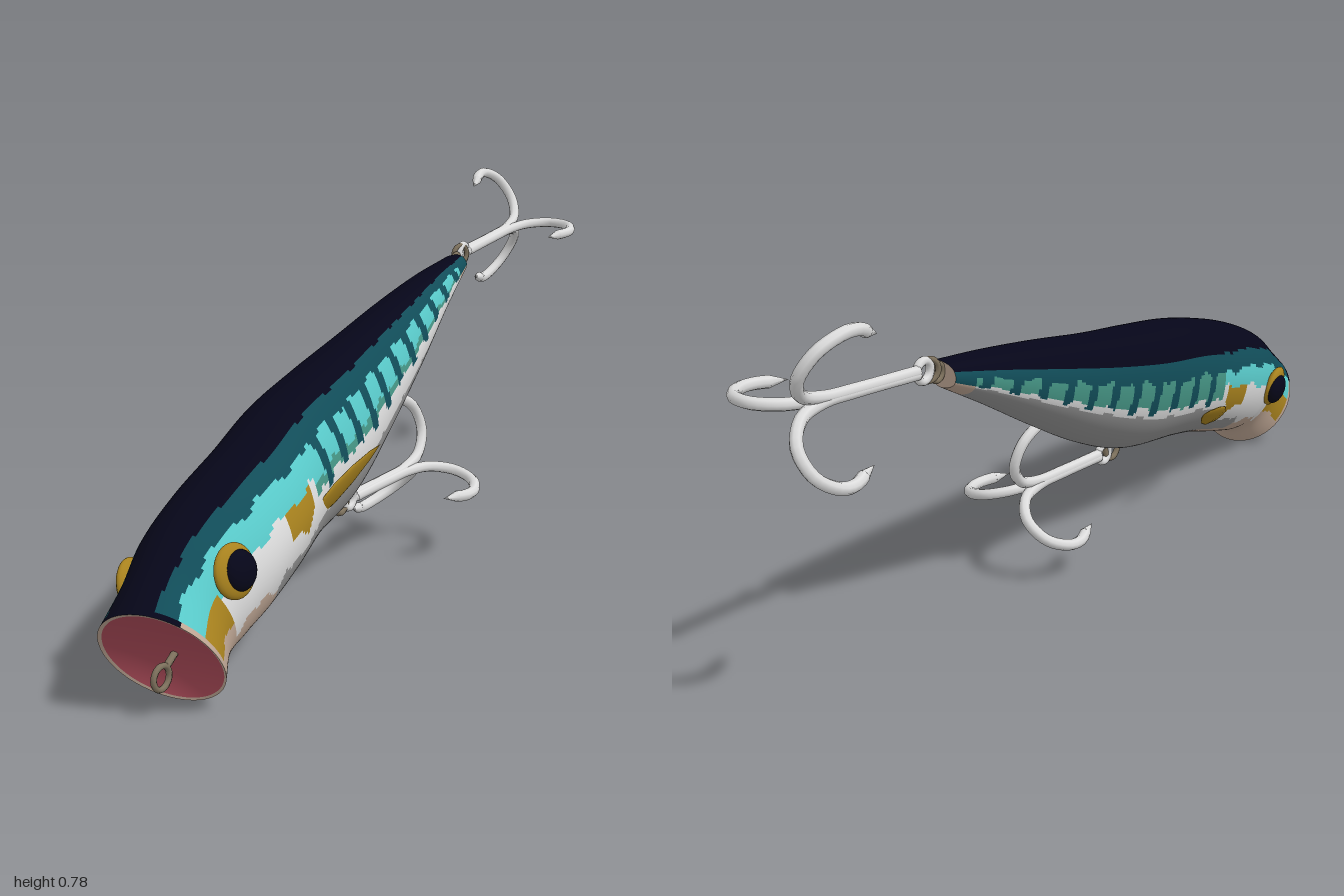
import * as THREE from 'three';

const mat = (name, color) => {
  const m = new THREE.MeshStandardMaterial({ color });
  m.name = name;
  return m;
};

const ROLL = 0.24; // the body leans towards its right
const NA = 120, NZ = 180;

// Body stations: z, centre x, half width, top y, bottom y, slant of the section
const STATIONS = [
  [-0.545, -0.085, 0.035, 0.605, 0.552, 0],
  [-0.4, -0.08, 0.055, 0.588, 0.475, 0],
  [-0.2, -0.066, 0.077, 0.557, 0.365, 0],
  [0, -0.05, 0.09, 0.522, 0.262, 0],
  [0.2, -0.032, 0.106, 0.49, 0.182, 0],
  [0.4, -0.016, 0.119, 0.456, 0.148, 0],
  [0.55, 0.006, 0.126, 0.416, 0.115, 0.05],
  [0.68, 0.015, 0.124, 0.37, 0.085, 0.2],
  [0.78, 0.02, 0.113, 0.318, 0.066, 0.4],
  [0.86, 0.03, 0.1, 0.262, 0.045, 0.55],
  [0.92, 0.04, 0.115, 0.213, 0.001, 0.66],
];
const spline = new THREE.CubicInterpolant(
  STATIONS.map(s => s[0]), STATIONS.flatMap(s => s.slice(1)), 5);

// Point on the section at z, angle a from the back, r = share of the radius
function skin(z, a, r = 1) {
  const [cx, w, top, bottom, k] = spline.evaluate(z);
  const cy = (top + bottom) / 2, h = (top - bottom) / 2;
  const sin = Math.sin(a), cos = Math.cos(a);
  // full shoulders on the rear body, a keeled belly
  const power = cos > 0
    ? 0.74 + 0.26 * THREE.MathUtils.smoothstep(z, 0.15, 0.55)
    : 1.35 - 0.35 * THREE.MathUtils.smoothstep(z, 0.5, 0.9);
  const u = Math.sign(sin) * Math.abs(sin) ** power * w * r, v = cos * h * r;
  const dx = u * Math.cos(ROLL) - v * Math.sin(ROLL);
  const dy = u * Math.sin(ROLL) + v * Math.cos(ROLL);
  return new THREE.Vector3(cx + dx, cy + dy, z + k * dy - k * 0.3 * dx);
}

// Closed rings joined in order; pick(i, j) gives the material slot of a face
function loft(rows, point, pick, slots) {
  const pos = [], faces = Array.from({ length: slots }, () => []);
  for (let i = 0; i <= rows; i++)
    for (let j = 0; j < NA; j++) pos.push(...point(i, (j / NA) * Math.PI * 2).toArray());
  for (let i = 0; i < rows; i++)
    for (let j = 0; j < NA; j++) {
      const a = i * NA + j, b = i * NA + (j + 1) % NA;
      faces[pick(i, j)].push(a, a + NA, b, b, a + NA, b + NA);
    }
  const g = new THREE.BufferGeometry();
  g.setAttribute('position', new THREE.Float32BufferAttribute(pos, 3));
  g.setIndex(faces.flat());
  let start = 0;
  faces.forEach((f, k) => { g.addGroup(start, f.length, k); start += f.length; });
  g.computeVertexNormals();
  return g;
}

// Paint scheme: s = degrees away from the back, z = place along the body
const [NAVY, TEAL, CYAN, GREEN, WHITE, GREY, BEIGE, GOLD] = [0, 1, 2, 3, 4, 5, 6, 7];
function paint(z, s, bright) {
  const wob = 2 * Math.sin(z * 47) + 1.5 * Math.sin(z * 91 + 1);
  const rear = bright ? 40 : 48;
  const back = z > 0.5 ? THREE.MathUtils.mapLinear(z, 0.5, 0.92, rear, 28) : rear;
  if (z > 0.91) return s < 50 ? NAVY : BEIGE;
  if (s < back + wob * 0.4) return NAVY;
  if (s < back + 19 + wob) return TEAL;
  if (z < -0.49) return s > 95 ? BEIGE : TEAL;
  // snout, cheek and gill cover
  if (z > 0.84) return s < 74 ? CYAN : s < 105 + wob ? GOLD : BEIGE;
  if (z > 0.63) {
    if (s < 78 + wob) return CYAN;
    if (s < 120 + 2 * wob) return WHITE;
    return z > 0.68 || s > 138 ? BEIGE : GREY;
  }
  if (z > 0.5) {
    if (s < 79 + wob) return CYAN;
    if (z > 0.52 && s < 100 + 2 * wob) return GOLD;
    return s < 118 + wob ? WHITE : s > 140 ? BEIGE : GREY;
  }
  // flank with slanted bars
  const phase = (((z + s * 0.0004) / 0.088) % 1 + 1) % 1;
  if (z < 0.45 && phase < 0.34 && s < 97 + wob) return TEAL;
  if (bright && s < 85 + wob) return CYAN;
  if (s < 92 + wob) return GREEN;
  return s < (bright ? 114 : 101) + wob * 0.5 ? WHITE : GREY;
}

export function createModel() {
  const navy = mat('navy', 0x060619), teal = mat('dark teal', 0x114c58);
  const cyan = mat('cyan', 0x58c8c8), green = mat('sea green', 0x459484);
  const white = mat('silver white', 0xdcdcdc), grey = mat('belly grey', 0x949494);
  const beige = mat('beige', 0xbea694), gold = mat('gold', 0xa8821e);
  const pink = mat('mouth pink', 0xae4c5a), metal = mat('wire metal', 0x7c705c);

  const model = new THREE.Group();
  const add = (name, geometry, material, parent = model) => {
    const m = new THREE.Mesh(geometry, material);
    m.name = name;
    parent.add(m);
    return m;
  };

  // Body
  const zAt = i => THREE.MathUtils.lerp(-0.545, 0.92, i / NZ);
  const pickBody = (i, j) => {
    const deg = ((j + 0.5) / NA) * 360;
    return paint(zAt(i + 0.5), Math.min(deg, 360 - deg), deg < 180);
  };
  add('body', loft(NZ, (i, a) => skin(zAt(i), a), pickBody, 8),
    [navy, teal, cyan, green, white, grey, beige, gold]);
  add('tailCap', loft(2, (i, a) => skin(-0.545, a, i / 2), () => 0, 1), [beige]);

  // Cupped mouth with a thin lip
  add('mouth', loft(20, (i, a) => {
    const r = 1 - i / 20, p = skin(0.92, a, r);
    p.z -= 0.035 * (1 - r * r);
    return p;
  }, i => (i < 1 ? 0 : 1), 2), [beige, pink]);

  // Eyes and fins on both sides
  for (const side of [1, -1]) {
    const label = side > 0 ? 'left' : 'right';
    const eye = new THREE.Group();
    eye.name = label + 'Eye';
    eye.position.set(0.013 + side * 0.11, 0.218 + side * 0.03, 0.8);
    eye.rotation.set(0, -side * 0.15, ROLL);
    model.add(eye);
    const ball = new THREE.SphereGeometry(1, 24, 16);
    const iris = add('iris', ball, gold, eye);
    iris.scale.set(0.018, 0.052, 0.052);
    iris.position.z = side > 0 ? 0.004 : 0.014;
    const pupil = add('pupil', ball, navy, eye);
    pupil.scale.set(0.021, 0.038, 0.038);
    pupil.position.x = side * 0.011;

    // flat leaf whose plane runs along the body
    const root = side > 0 ? new THREE.Vector3(0.1, 0.25, 0.5) : new THREE.Vector3(-0.115, 0.2, 0.5);
    const tip = side > 0 ? new THREE.Vector3(0.148, 0.36, 0.29) : new THREE.Vector3(-0.186, 0.278, 0.29);
    const outline = [[0, 0], [0.022, 0.1], [0.034, 0.35], [0.03, 0.6], [0.016, 0.85], [0, 1]]
      .map(([r, t]) => new THREE.Vector2(r, t * root.distanceTo(tip)));
    const leaf = new THREE.LatheGeometry(outline, 16);
    leaf.rotateX(Math.PI / 2).scale(0.2, 1, 1);
    const fin = add(label + 'Fin', leaf, gold);
    fin.position.copy(root);
    fin.up.set(0, 0, 1);
    fin.lookAt(tip);
  }

  // Wire eyelets
  const ring = (name, r, tube, material, p, turn, parent) => {
    const m = add(name, new THREE.TorusGeometry(r, tube, 8, 20), material, parent);
    m.position.set(...p);
    m.rotation.y = turn;
    return m;
  };
  const wire = (name, pts, r, material, parent) => add(name, new THREE.TubeGeometry(
    new THREE.CatmullRomCurve3(pts.map(p => new THREE.Vector3(...p))), 40, r, 8), material, parent);
  ring('mouthEyelet', 0.022, 0.006, metal, [0.045, 0.075, 0.93], 1.5);
  wire('mouthWire', [[0.04, 0.115, 0.86], [0.042, 0.1, 0.89], [0.045, 0.09, 0.915]], 0.007, metal);
  ring('bellyEyelet', 0.026, 0.007, metal, [0, 0.19, 0.19], Math.PI / 2);
  ring('tailEyelet', 0.017, 0.006, metal, [-0.088, 0.588, -0.562], Math.PI / 2);
  ring('tailLink', 0.022, 0.006, metal, [-0.09, 0.6, -0.59], 1.2);

  // Treble hooks: three bent wires sharing a shank along -z
  const hook = (name, p, tilt, turn, len, angles) => {
    const g = new THREE.Group();
    g.name = name;
    g.position.set(...p);
    g.rotation.set(tilt, turn, 0);
    model.add(g);
    ring('hookEye', 0.02, 0.009, white, [0, 0, 0], Math.PI / 2, g);
    for (const deg of angles) {
      const c = Math.cos(deg * Math.PI / 180), s = Math.sin(deg * Math.PI / 180);
      const at = ([r, z]) => [r * c, r * s, z - len];
      wire('prong', [[0.003, len - 0.02], [0.003, 0.2], [0.006, 0.11], [0.025, 0.045], [0.07, 0.012],
        [0.125, 0.025], [0.158, 0.075], [0.16, 0.115], [0.15, 0.14]].map(at), 0.0125, white, g);
      const point = add('hookPoint', new THREE.ConeGeometry(0.0125, 0.04, 8).rotateX(Math.PI / 2), white, g);
      const dir = new THREE.Vector3(-0.35 * c, -0.35 * s, 1).normalize();
      point.quaternion.setFromUnitVectors(new THREE.Vector3(0, 0, 1), dir);
      point.position.set(...at([0.15, 0.14])).addScaledVector(dir, 0.019);
    }
  };
  hook('tailHook', [-0.09, 0.602, -0.605], 0.08, 0, 0.395, [0, 120, 240]);
  hook('bellyHook', [0, 0.186, 0.155], 0.01, -0.06, 0.355, [-12, 103, 222]);

  return model;
}
